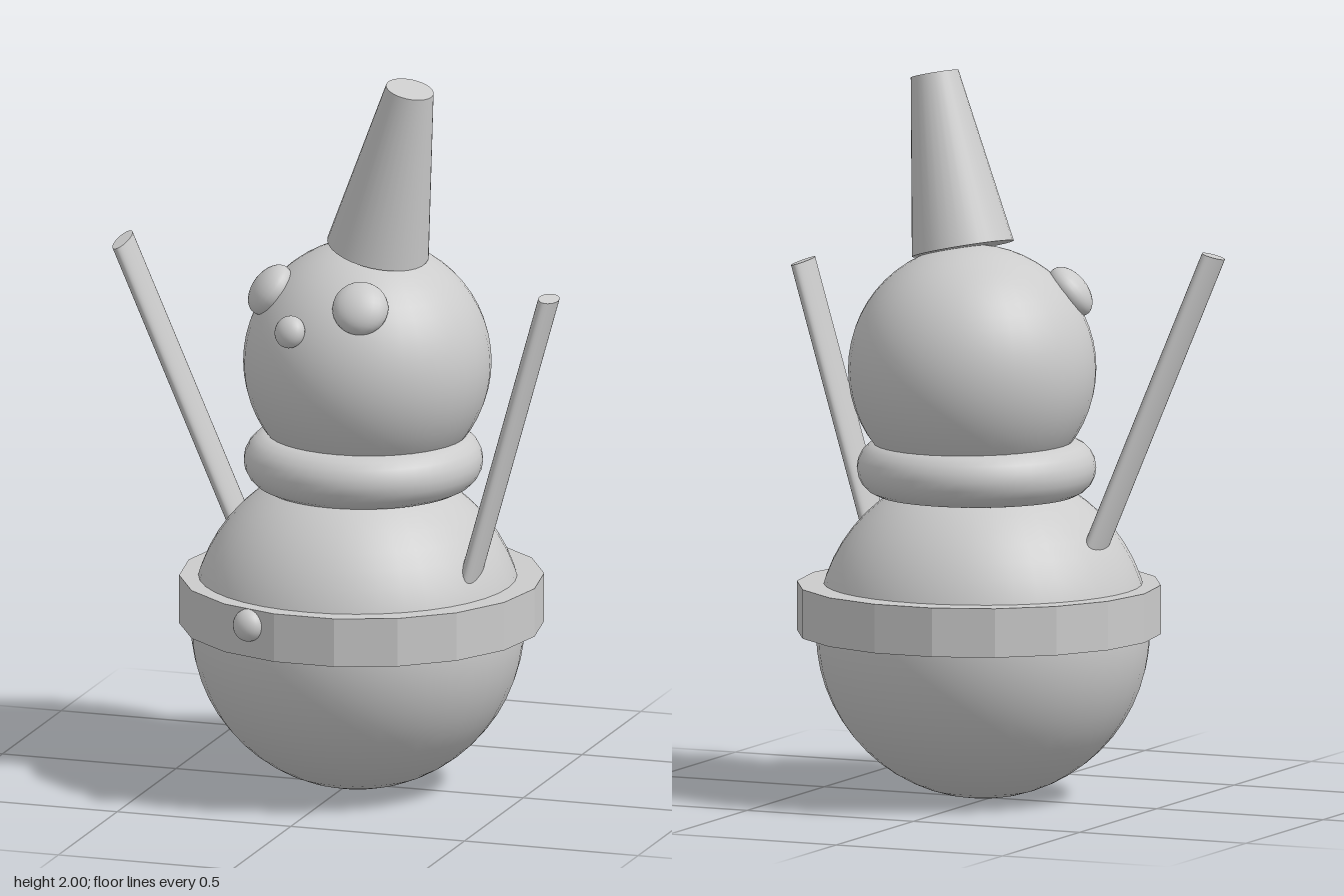
import * as THREE from 'three';

const UP = new THREE.Vector3(0, 1, 0);

export function createModel() {
  const group = new THREE.Group();
  group.name = 'snowman';
  const smooth = new THREE.MeshStandardMaterial({ color: 0xcccccc });
  const faceted = new THREE.MeshStandardMaterial({ color: 0xcccccc, flatShading: true });

  const add = (name, geometry, position, material = smooth) => {
    const mesh = new THREE.Mesh(geometry, material);
    mesh.name = name;
    mesh.position.set(...position);
    group.add(mesh);
    return mesh;
  };

  // Tapered round bar between two points, optionally flattened across x
  const bar = (name, from, to, rFrom, rTo, flatten = 1) => {
    const a = new THREE.Vector3(...from);
    const b = new THREE.Vector3(...to);
    const dir = b.clone().sub(a);
    const geometry = new THREE.CylinderGeometry(rTo, rFrom, dir.length(), 32);
    geometry.scale(flatten, 1, 1);
    const mesh = add(name, geometry, a.add(b).multiplyScalar(0.5).toArray());
    mesh.quaternion.setFromUnitVectors(UP, dir.normalize());
  };

  // Snowballs
  const headCentre = [0.04, 1.19, -0.033];
  const bodyCentre = [0.025, 0.461, 0.005];
  add('body', new THREE.SphereGeometry(0.456, 40, 28), bodyCentre);
  add('head', new THREE.SphereGeometry(0.339, 40, 28), headCentre);

  // Scarf ring round the neck
  const scarf = new THREE.TorusGeometry(0.25, 0.077, 20, 48);
  scarf.rotateX(Math.PI / 2);
  add('scarf', scarf, [0.033, 0.917, -0.02]);

  // Faceted belt with a corner towards +x
  const belt = new THREE.CylinderGeometry(0.498, 0.498, 0.135, 18);
  belt.rotateY(Math.PI / 2);
  add('belt', belt, [0.033, 0.528, -0.005], faceted);

  // Tilted hat
  bar('hat', [0.077, 1.515, -0.014], [0.187, 1.984, 0.04], 0.141, 0.066);

  // Flat arms
  bar('leftArm', [0.365, 0.55, 0.133], [0.601, 1.438, 0.08], 0.061, 0.061, 0.4);
  bar('rightArm', [-0.285, 0.6, -0.045], [-0.61, 1.517, 0.13], 0.061, 0.061, 0.4);

  // Pebbles pressed into a ball, flattened along the outward direction
  const pebble = (name, position, centre, radius, depth) => {
    const geometry = new THREE.SphereGeometry(radius, 24, 16);
    geometry.scale(1, 1, depth / radius);
    const mesh = add(name, geometry, position);
    const outward = mesh.position.clone().sub(new THREE.Vector3(...centre));
    mesh.lookAt(mesh.position.clone().add(outward));
  };
  pebble('leftEye', [0.107, 1.405, 0.225], headCentre, 0.077, 0.048);
  pebble('rightEye', [-0.198, 1.4, 0.09], headCentre, 0.077, 0.048);
  pebble('nose', [-0.083, 1.333, 0.264], headCentre, 0.045, 0.035);
  pebble('button', [-0.137, 0.55, 0.457], bodyCentre, 0.045, 0.037);

  return group;
}
